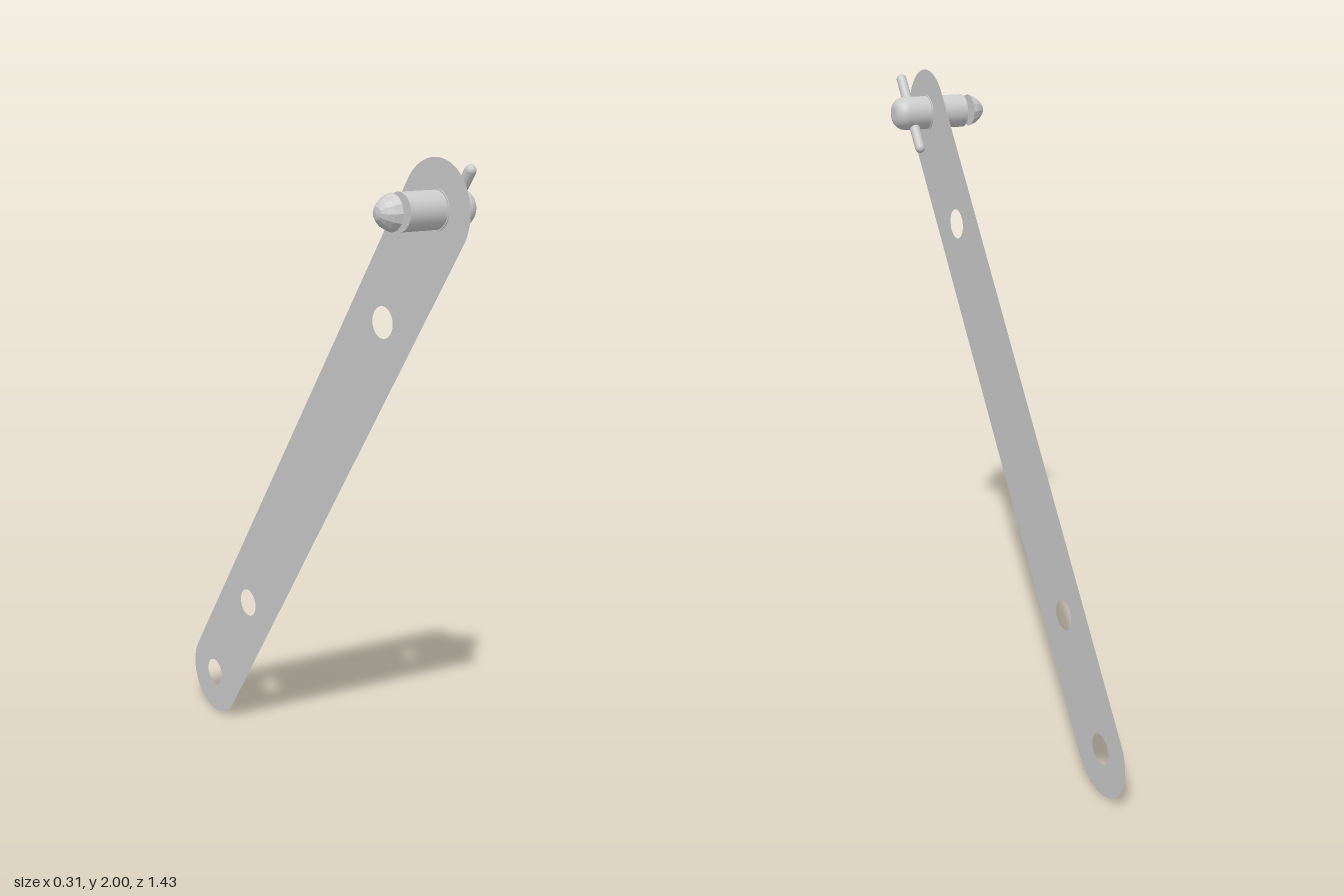
import * as THREE from 'three';

const material = new THREE.MeshStandardMaterial({ color: 0xcccccc, side: THREE.DoubleSide });
const END_Z = 0.577, END_R = 0.14, TOP_Y = 1.86;
const PIN = { y: 1.865, z: 0.58 };
const PLATE_X = 0.04;
const slant = Math.atan2(TOP_Y - END_R, 2 * END_Z); // bar angle in the z-y plane

function addMesh(parent, name, geometry, mat = material) {
  const mesh = new THREE.Mesh(geometry, mat);
  mesh.name = name;
  parent.add(mesh);
  return mesh;
}

// Turned part along x, from [x, radius] pairs in rising x
function turned(profile, segments) {
  const points = profile.map(([x, r]) => new THREE.Vector2(r, x));
  return new THREE.LatheGeometry(points, segments).rotateZ(-Math.PI / 2);
}

export function createModel() {
  const model = new THREE.Group();
  model.name = 'linkBarWithPin';

  // Thin round-ended bar with four round holes
  const outline = new THREE.Shape();
  outline.absarc(END_Z, TOP_Y, END_R, slant - Math.PI / 2, slant + Math.PI / 2, false);
  outline.absarc(-END_Z, END_R, END_R, slant + Math.PI / 2, slant + Math.PI * 1.5, false);
  for (const [z, y] of [[PIN.z, PIN.y], [0.362, 1.538], [-0.352, 0.48], [-0.578, 0.146]]) {
    const hole = new THREE.Path();
    hole.absarc(z, y, 0.046, 0, Math.PI * 2, true);
    outline.holes.push(hole);
  }
  const bar = addMesh(model, 'bar', new THREE.ShapeGeometry(outline, 32).rotateY(-Math.PI / 2));
  bar.position.x = PLATE_X;

  const pin = new THREE.Group();
  pin.name = 'pin';
  pin.position.set(0, PIN.y, PIN.z);
  model.add(pin);

  // Barrel with a rounded head
  const head = [];
  for (let i = 0; i <= 8; i++) {
    const a = (i / 8) * Math.PI / 2;
    head.push([0.115 + 0.04 * Math.sin(a), 0.017 + 0.035 * Math.cos(a)]);
  }
  addMesh(pin, 'barrel', turned([[-0.085, 0.052], ...head, [0.155, 0]], 32));
  const endCap = addMesh(pin, 'barrelEnd', new THREE.CircleGeometry(0.052, 32).rotateY(-Math.PI / 2));
  endCap.position.x = -0.085;

  // Narrow collar where the pin meets the bar
  const collar = addMesh(pin, 'collar', new THREE.CylinderGeometry(0.056, 0.056, 0.006, 32).rotateZ(Math.PI / 2));
  collar.position.x = PLATE_X;

  // Separate faceted tip beyond the groove
  const faceted = material.clone();
  faceted.flatShading = true;
  addMesh(pin, 'tip', turned([[-0.158, 0], [-0.155, 0.017], [-0.143, 0.031], [-0.127, 0.043], [-0.108, 0.051], [-0.108, 0]], 12), faceted);

  // Cross pin through the head, in line with the bar
  const crossPin = addMesh(pin, 'crossPin', new THREE.CapsuleGeometry(0.016, 0.246, 6, 16));
  crossPin.position.x = 0.095;
  crossPin.rotation.x = Math.PI / 2 - slant;

  return model;
}
